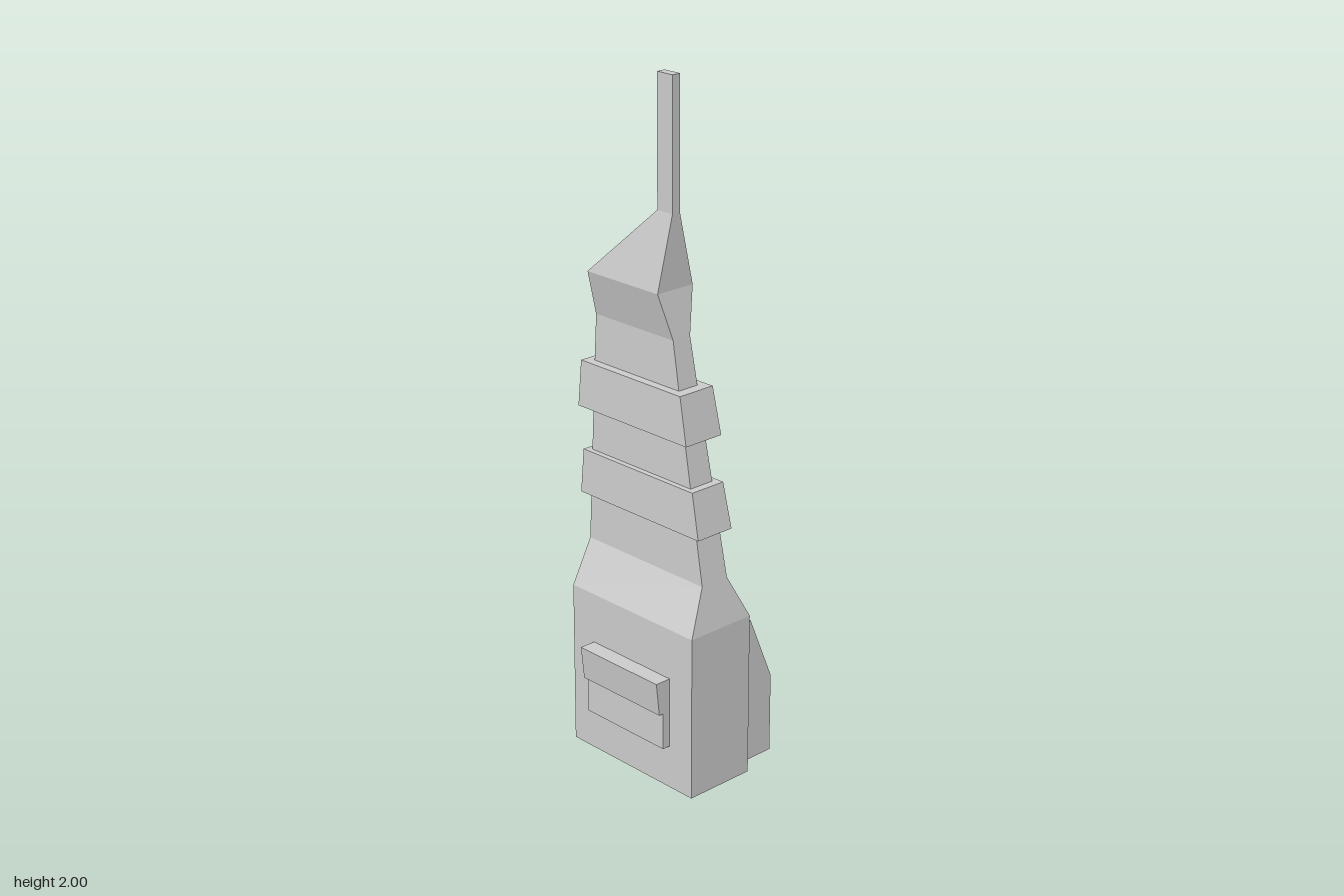
import * as THREE from 'three';

// Stacks rectangular cross-sections [y, x0, x1, z0, z1] into a closed solid.
function loft(rows) {
  const pos = [];
  const rings = rows.map(([y, x0, x1, z0, z1]) => [
    [x0, y, z1], [x1, y, z1], [x1, y, z0], [x0, y, z0],
  ]);
  const quad = (a, b, c, d) => pos.push(...a, ...b, ...c, ...a, ...c, ...d);
  for (let i = 0; i < rings.length - 1; i++) {
    const lo = rings[i], hi = rings[i + 1];
    for (let k = 0; k < 4; k++) {
      const n = (k + 1) % 4;
      quad(lo[k], lo[n], hi[n], hi[k]);
    }
  }
  quad(...rings[rings.length - 1]);
  quad(...[...rings[0]].reverse());
  const g = new THREE.BufferGeometry();
  g.setAttribute('position', new THREE.Float32BufferAttribute(pos, 3));
  g.computeVertexNormals();
  return g;
}

// Extrudes an x-y profile from z0 to z1.
function slab(points, z0, z1) {
  const shape = new THREE.Shape(points.map(([x, y]) => new THREE.Vector2(x, y)));
  const g = new THREE.ExtrudeGeometry(shape, { depth: z1 - z0, bevelEnabled: false });
  return g.translate(0, 0, z0);
}

export function createModel() {
  const group = new THREE.Group();
  const grey = new THREE.MeshStandardMaterial({ color: 0xcccccc });
  grey.name = 'pale grey';
  grey.flatShading = true;

  const add = (name, geometry) => {
    const mesh = new THREE.Mesh(geometry, grey);
    mesh.name = name;
    group.add(mesh);
  };

  // Tower: block base, sloped shoulder, leaning shaft, flared head and mast
  add('tower', loft([
    [0, -0.155, 0.067, -0.235, 0.252],
    [0.49, -0.155, 0.067, -0.235, 0.252],
    [0.62, -0.092, 0.002, -0.231, 0.226],
    [1.15, -0.079, -0.01, -0.218, 0.12],
    [1.29, -0.075, -0.013, -0.214, 0.093],
    [1.42, -0.107, 0.021, -0.211, 0.067],
    [1.63, -0.058, -0.031, 0.014, 0.072],
    [2.0, -0.058, -0.031, 0.014, 0.072],
  ]));

  // Two tapered collars around the shaft
  add('lowerCollar', loft([
    [0.76, -0.107, 0.019, -0.25, 0.225],
    [0.89, -0.102, 0.014, -0.243, 0.196],
  ]));
  add('upperCollar', loft([
    [1.02, -0.11, 0.021, -0.253, 0.18],
    [1.155, -0.105, 0.016, -0.245, 0.151],
  ]));

  // Three sloped buttresses on the left side
  const buttress = [[0.06, 0], [0.204, 0], [0.204, 0.24], [0.12, 0.44], [0.06, 0.44]];
  [-0.138, 0.009, 0.154].forEach((z, i) => {
    add(`buttress${i + 1}`, slab(buttress, z - 0.05, z + 0.05));
  });

  // Stepped panel with an overhanging ledge on the right side
  add('sidePanel', slab([
    [-0.15, 0.13], [-0.15, 0.34], [-0.205, 0.34],
    [-0.194, 0.24], [-0.18, 0.24], [-0.18, 0.13],
  ], -0.149, 0.164));

  return group;
}
